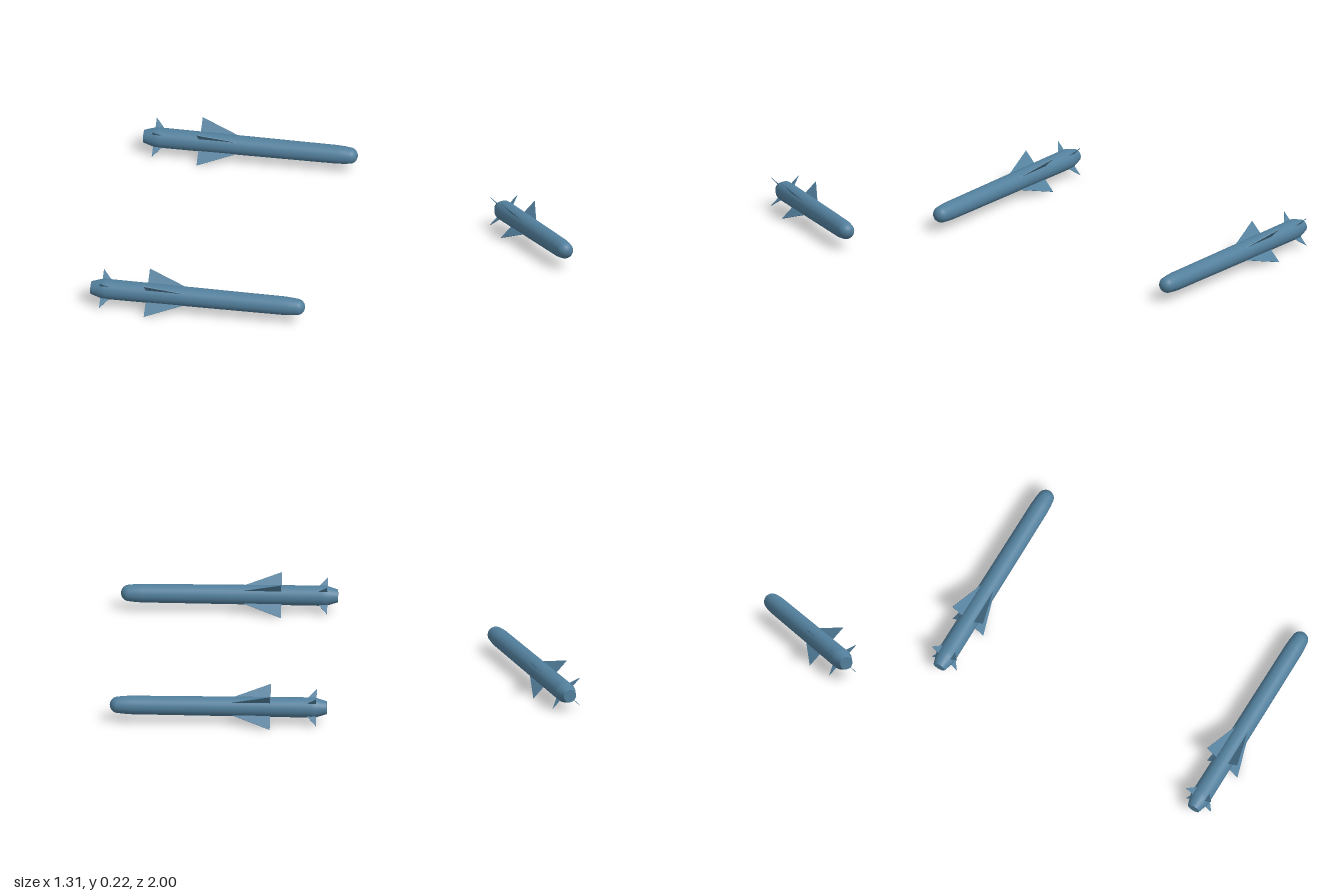
import * as THREE from 'three';

const AXIS_Y = 0.108, AXIS_Z = 0.892, FIN_T = 0.003;

// Triangular fin outline: root is buried in the body, trailing edge is square
function finGeometry(xBack, xFront, rTip, rFront, rRoot) {
  const s = new THREE.Shape();
  s.moveTo(xBack, rRoot);
  s.lineTo(xFront, rRoot);
  s.lineTo(xFront, rFront);
  s.lineTo(xBack, rTip);
  s.closePath();
  const g = new THREE.ExtrudeGeometry(s, { depth: FIN_T, bevelEnabled: false });
  return g.translate(0, 0, -FIN_T / 2);
}

// Body of revolution along x: tail taper, slightly narrowing tube, round nose
function bodyGeometry() {
  const pts = [[0.039, -0.656], [0.0605, -0.587], [0.0615, -0.56], [0.059, 0], [0.0565, 0.53], [0.0535, 0.575]]
    .map(([r, x]) => new THREE.Vector2(r, x));
  for (let i = 0; i <= 10; i++) {
    const a = (i / 10) * Math.PI / 2;
    pts.push(new THREE.Vector2(i === 10 ? 0 : 0.05 * Math.cos(a), 0.605 + 0.05 * Math.sin(a)));
  }
  return new THREE.LatheGeometry(pts, 40).rotateZ(-Math.PI / 2);
}

export function createModel() {
  const model = new THREE.Group();
  model.name = 'missilePair';
  const mat = new THREE.MeshStandardMaterial({ color: 0x527f9c });

  const body = bodyGeometry();
  const tail = new THREE.CircleGeometry(0.039, 40).rotateY(-Math.PI / 2).translate(-0.656, 0, 0);
  const wing = finGeometry(-0.315, -0.08, 0.151, 0.057, 0.03);
  const tailFin = finGeometry(-0.593, -0.537, 0.123, 0.059, 0.03);

  for (const side of [-1, 1]) {
    const missile = new THREE.Group();
    missile.name = side > 0 ? 'frontMissile' : 'rearMissile';
    missile.position.set(0, AXIS_Y, side * AXIS_Z);
    const add = (geo, name, turn = 0) => {
      const m = new THREE.Mesh(geo, mat);
      m.name = name;
      m.rotation.x = turn;
      missile.add(m);
    };
    add(body, 'body');
    add(tail, 'tailCap');
    // Four wings and four tail fins in an X layout
    for (let i = 0; i < 4; i++) {
      const turn = Math.PI / 4 + i * Math.PI / 2;
      add(wing, 'wing', turn);
      add(tailFin, 'tailFin', turn);
    }
    model.add(missile);
  }
  return model;
}
